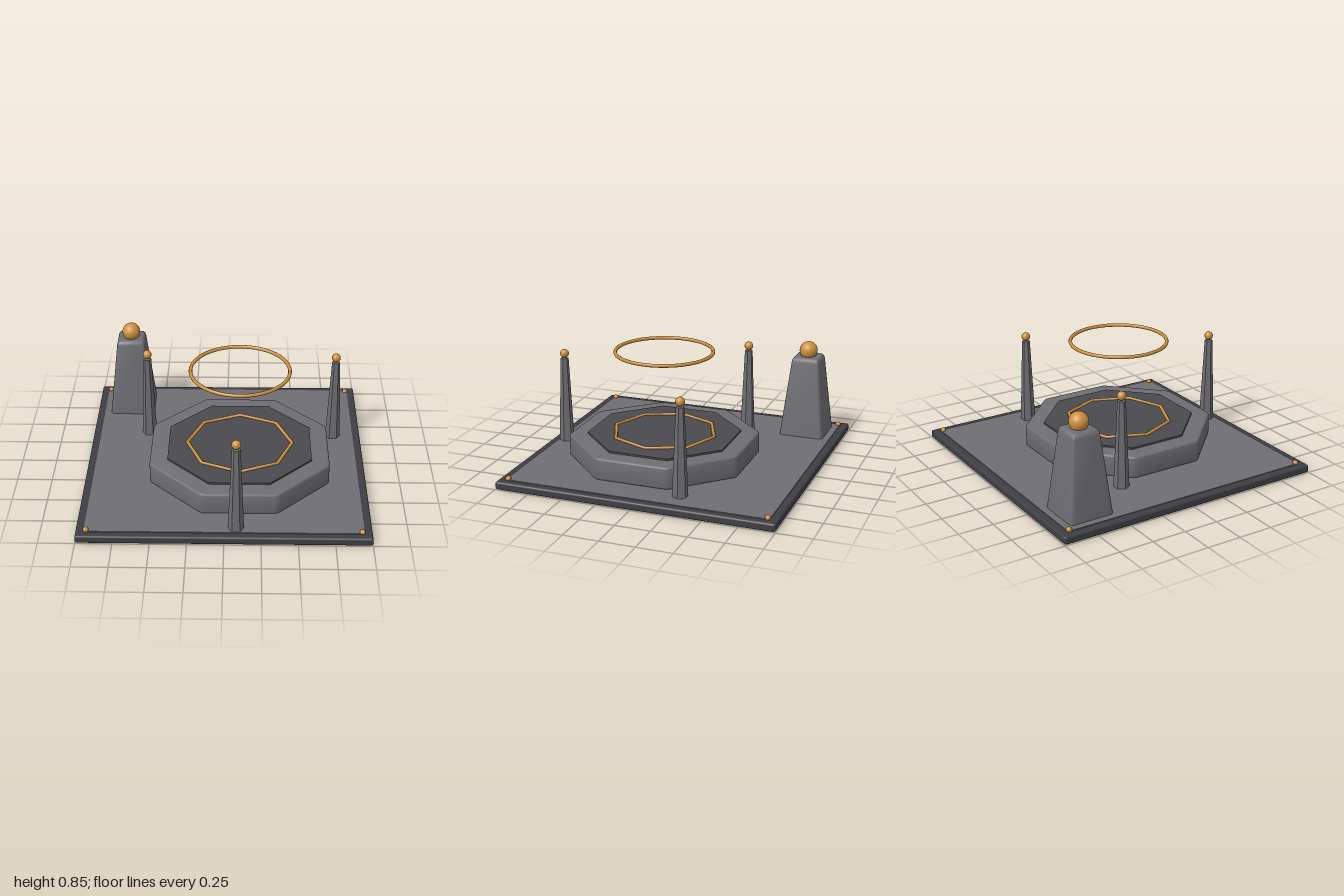
import * as THREE from 'three';
import { toCreasedNormals } from 'three/addons/utils/BufferGeometryUtils.js';
import { RoundedBoxGeometry } from 'three/addons/geometries/RoundedBoxGeometry.js';

const material = (name, color) => {
  const m = new THREE.MeshStandardMaterial({ color });
  m.name = name;
  return m;
};

// Octagon with sides square to the axes and softened corners
function octagonShape(apothem, soft) {
  const r = apothem / Math.cos(Math.PI / 8);
  const corners = [];
  for (let i = 0; i < 8; i++) {
    const a = Math.PI / 8 + (i * Math.PI) / 4;
    corners.push(new THREE.Vector2(r * Math.cos(a), r * Math.sin(a)));
  }
  const shape = new THREE.Shape();
  corners.forEach((c, i) => {
    const prev = corners[(i + 7) % 8], next = corners[(i + 1) % 8];
    const a = c.clone().add(prev.clone().sub(c).setLength(soft));
    const b = c.clone().add(next.clone().sub(c).setLength(soft));
    if (i === 0) shape.moveTo(a.x, a.y);
    else shape.lineTo(a.x, a.y);
    shape.quadraticCurveTo(c.x, c.y, b.x, b.y);
  });
  shape.closePath();
  return shape;
}

export function createModel() {
  const group = new THREE.Group();
  const slabDark = material('dark slab', 0x3e3e44);
  const plateDark = material('dark plate', 0x4a4a4f);
  const stone = material('grey stone', 0x6e6e73);
  const gold = material('gold', 0xcc8f3c);

  const add = (name, geometry, mat, x, y, z) => {
    const mesh = new THREE.Mesh(geometry, mat);
    mesh.name = name;
    mesh.position.set(x, y, z);
    group.add(mesh);
    return mesh;
  };

  // Base slab, floor panel and corner studs
  add('baseSlab', new RoundedBoxGeometry(2, 0.058, 2, 3, 0.015), slabDark, 0, 0.029, 0);
  add('floorPanel', new THREE.BoxGeometry(1.89, 0.02, 1.89), stone, 0, 0.053, 0);
  for (const x of [-0.93, 0.93]) {
    for (const z of [-0.93, 0.93]) {
      add('cornerStud', new THREE.SphereGeometry(0.02, 16, 12), gold, x, 0.065, z);
    }
  }

  // Bevelled octagonal dais
  const bevel = 0.015;
  const dais = new THREE.ExtrudeGeometry(octagonShape(0.635 - bevel, 0.02), {
    depth: 0.16 - 2 * bevel, bevelEnabled: true, bevelSize: bevel,
    bevelThickness: bevel, bevelSegments: 3, curveSegments: 3,
  });
  dais.rotateX(-Math.PI / 2);
  add('dais', toCreasedNormals(dais, 0.6), stone, 0.1, 0.062 + bevel, 0.1);

  // Dark inlay and its eight-sided gold trim
  const inlay = new THREE.CylinderGeometry(0.552, 0.552, 0.02, 8);
  inlay.rotateY(Math.PI / 8);
  add('daisInlay', toCreasedNormals(inlay, 0.3), plateDark, 0.1, 0.225, 0.1);
  const trim = new THREE.TorusGeometry(0.376, 0.013, 8, 8);
  trim.rotateX(Math.PI / 2);
  add('daisTrim', trim, gold, 0.1, 0.237, 0.1);

  // Floating ring
  const ring = new THREE.TorusGeometry(0.346, 0.013, 8, 64);
  ring.rotateX(Math.PI / 2);
  add('floatingRing', ring, gold, 0.1, 0.832, 0.1);

  // Three hexagonal pylons with gold tips
  for (const [x, z] of [[-0.58, -0.31], [0.795, -0.28], [0.08, 0.89]]) {
    const shaft = new THREE.CylinderGeometry(0.029, 0.055, 0.63, 6);
    shaft.rotateY(Math.PI / 6);
    add('pylonShaft', toCreasedNormals(shaft, 0.3), stone, x, 0.378, z);
    add('pylonTip', new THREE.SphereGeometry(0.032, 20, 14), gold, x, 0.728, z);
  }

  // Tapered corner obelisk: a rounded box narrowed toward the top
  const height = 0.62;
  const obelisk = new RoundedBoxGeometry(0.34, height, 0.34, 3, 0.035);
  const p = obelisk.attributes.position;
  for (let i = 0; i < p.count; i++) {
    const s = 1 - 0.41 * (p.getY(i) / height + 0.5);
    p.setXYZ(i, p.getX(i) * s, p.getY(i), p.getZ(i) * s);
  }
  add('obelisk', toCreasedNormals(obelisk, 0.6), stone, -0.73, 0.655 - height / 2, -0.73);
  add('obeliskOrb', new THREE.SphereGeometry(0.067, 28, 20), gold, -0.73, 0.695, -0.73);

  return group;
}
